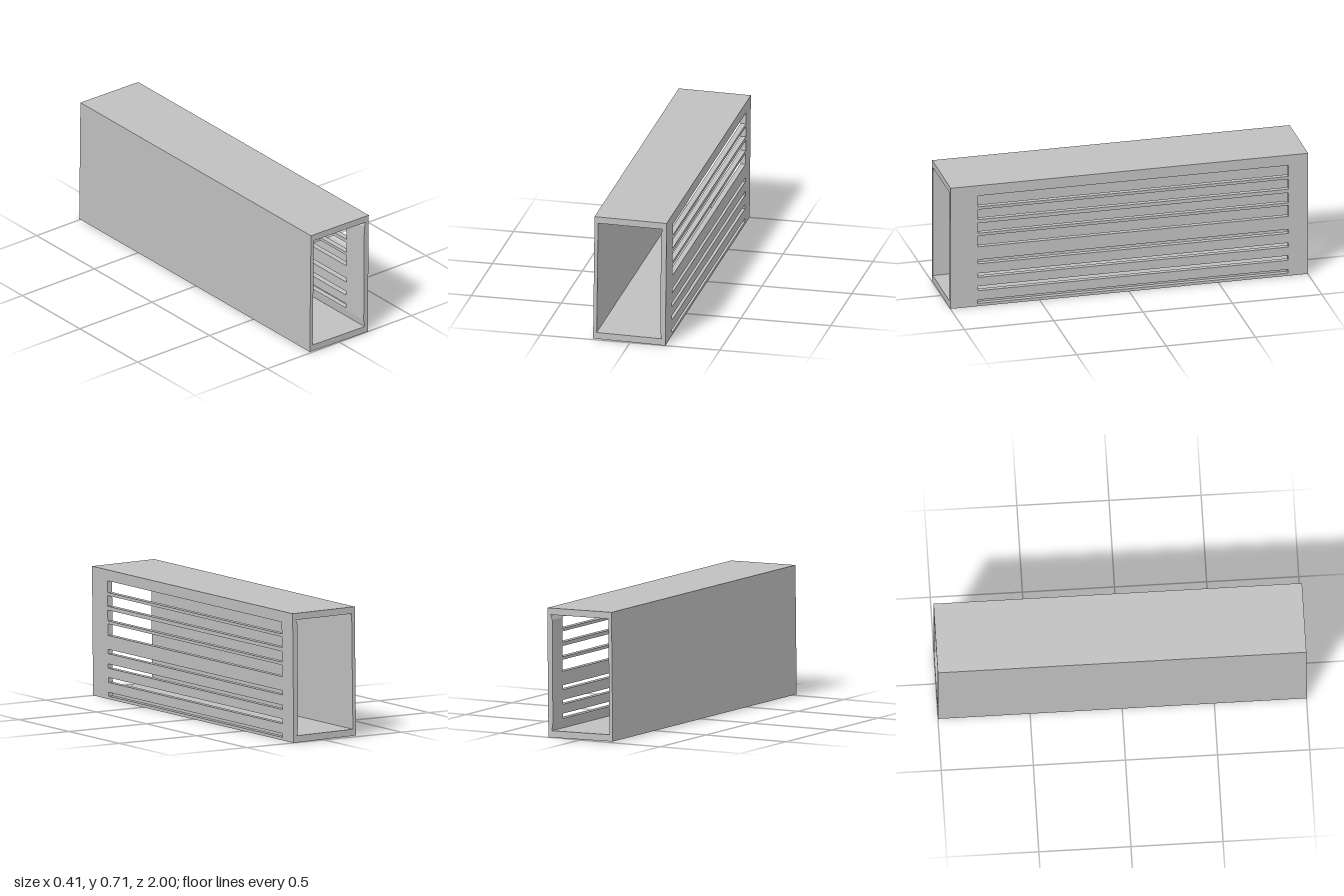
import * as THREE from 'three';

// Outer and inner faces of the slightly leaning vented wall (x at height y)
const outerX = (y) => 0.197 + 0.0099 * y;
const innerX = (y) => 0.169 + 0.0071 * (y - 0.08);

// Vent slots, bottom and top heights; the lowest is a blind groove in the floor
const groove = [0.016, 0.037];
const slots = [
  [0.091, 0.118], [0.169, 0.193], [0.249, 0.273], [0.349, 0.413],
  [0.429, 0.488], [0.509, 0.568], [0.584, 0.649],
];
const SLOT_BACK = -0.89, SLOT_FRONT = 0.847;

const outer = [[0.197, 0], [0.204, 0.709], [-0.197, 0.714], [-0.205, 0.007]];
const inner = [
  [0.175, 0.038], [-0.185, 0.043], [-0.177, 0.677], [0.183, 0.673],
  [innerX(0.645), 0.645], [0.169, 0.08],
];
const vectors = (points) => points.map(([x, y]) => new THREE.Vector2(x, y));

export function createModel() {
  const grey = new THREE.MeshStandardMaterial({ color: 0xc0c0c0 });
  grey.name = 'grey';
  const model = new THREE.Group();
  model.name = 'ventedDuct';

  // Extrude a cross-section between two depths
  function addLength(name, points, z0, z1, hole) {
    const shape = new THREE.Shape(vectors(points));
    if (hole) shape.holes.push(new THREE.Path(vectors(hole)));
    const geometry = new THREE.ExtrudeGeometry(shape, { depth: z1 - z0, bevelEnabled: false });
    const mesh = new THREE.Mesh(geometry, grey);
    mesh.name = name;
    mesh.position.z = z0;
    model.add(mesh);
  }

  // Closed frames at both ends
  addLength('frontFrame', outer, SLOT_FRONT, 1, inner);
  addLength('backFrame', outer, -1, SLOT_BACK, inner);

  // Middle shell: floor with groove, closed wall, roof
  const low = slots[0][0], high = slots[slots.length - 1][1];
  addLength('middleShell', [
    outer[0],
    [outerX(groove[0]), groove[0]], [0.17, groove[0]],
    [0.17, groove[1]], [outerX(groove[1]), groove[1]],
    [outerX(low), low], [innerX(low), low], [0.169, 0.08],
    ...inner.slice(0, 4),
    [innerX(high) + 0.001, high], [outerX(high), high],
    ...outer.slice(1),
  ], SLOT_BACK, SLOT_FRONT);

  // Slats between neighbouring slots
  for (let i = 0; i < slots.length - 1; i++) {
    const y0 = slots[i][1], y1 = slots[i + 1][0];
    addLength(`slat${i + 1}`, [
      [innerX(y0), y0], [outerX(y0), y0], [outerX(y1), y1], [innerX(y1), y1],
    ], SLOT_BACK, SLOT_FRONT);
  }
  return model;
}
